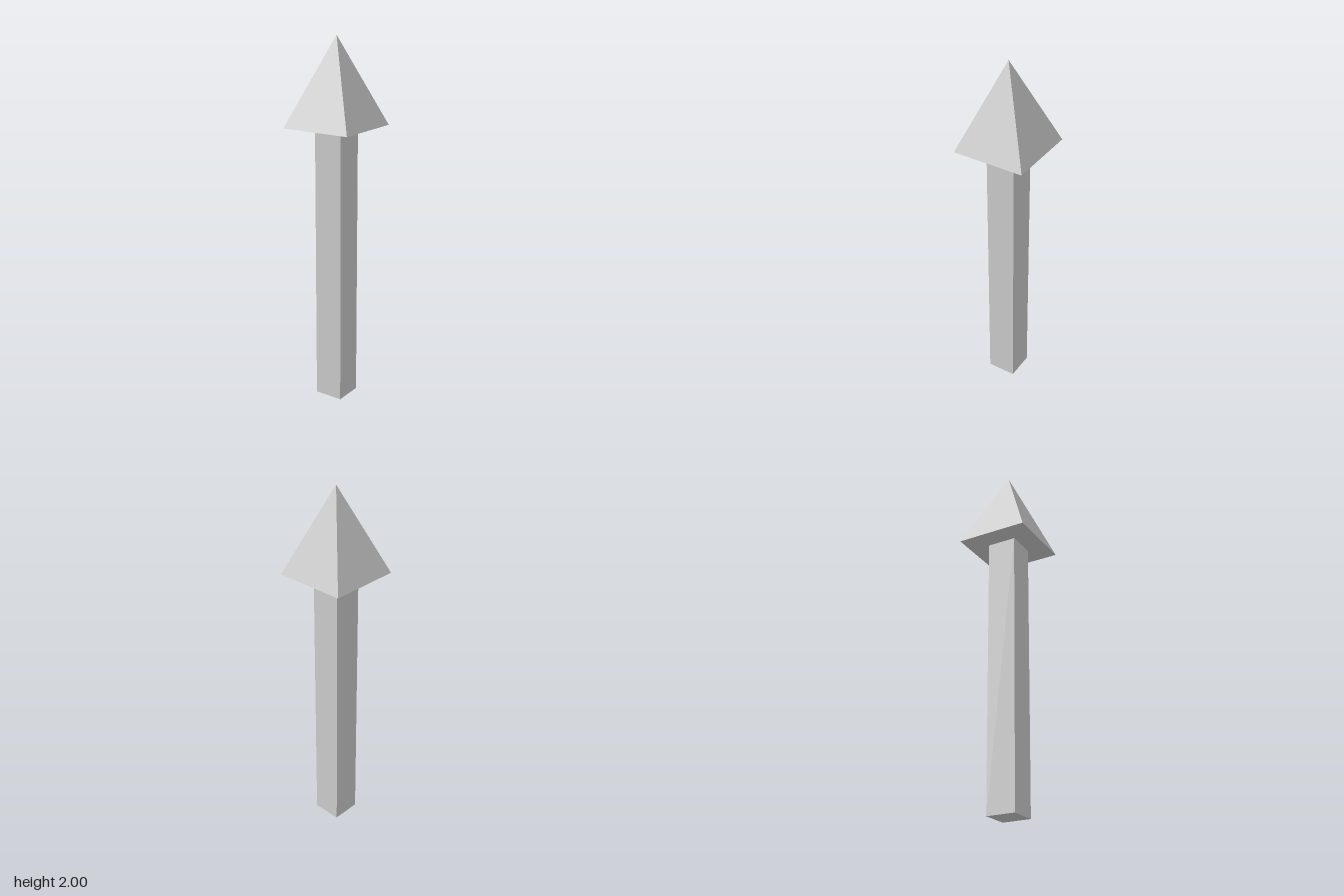
import * as THREE from 'three';

export function createModel() {
  const group = new THREE.Group();
  const material = new THREE.MeshStandardMaterial({ color: 0xcccccc, flatShading: true });
  const shaftHeight = 1.53, headHeight = 0.47;

  const add = (name, geometry, y) => {
    const mesh = new THREE.Mesh(geometry, material);
    mesh.name = name;
    mesh.position.y = y;
    group.add(mesh);
  };

  // Square post, corners facing the axes
  add('shaft', new THREE.CylinderGeometry(0.114, 0.114, shaftHeight, 4), shaftHeight / 2);

  // Four-sided pyramid on top, closed underneath
  add('pointedHead', new THREE.ConeGeometry(0.28, headHeight, 4), shaftHeight + headHeight / 2);

  return group;
}
